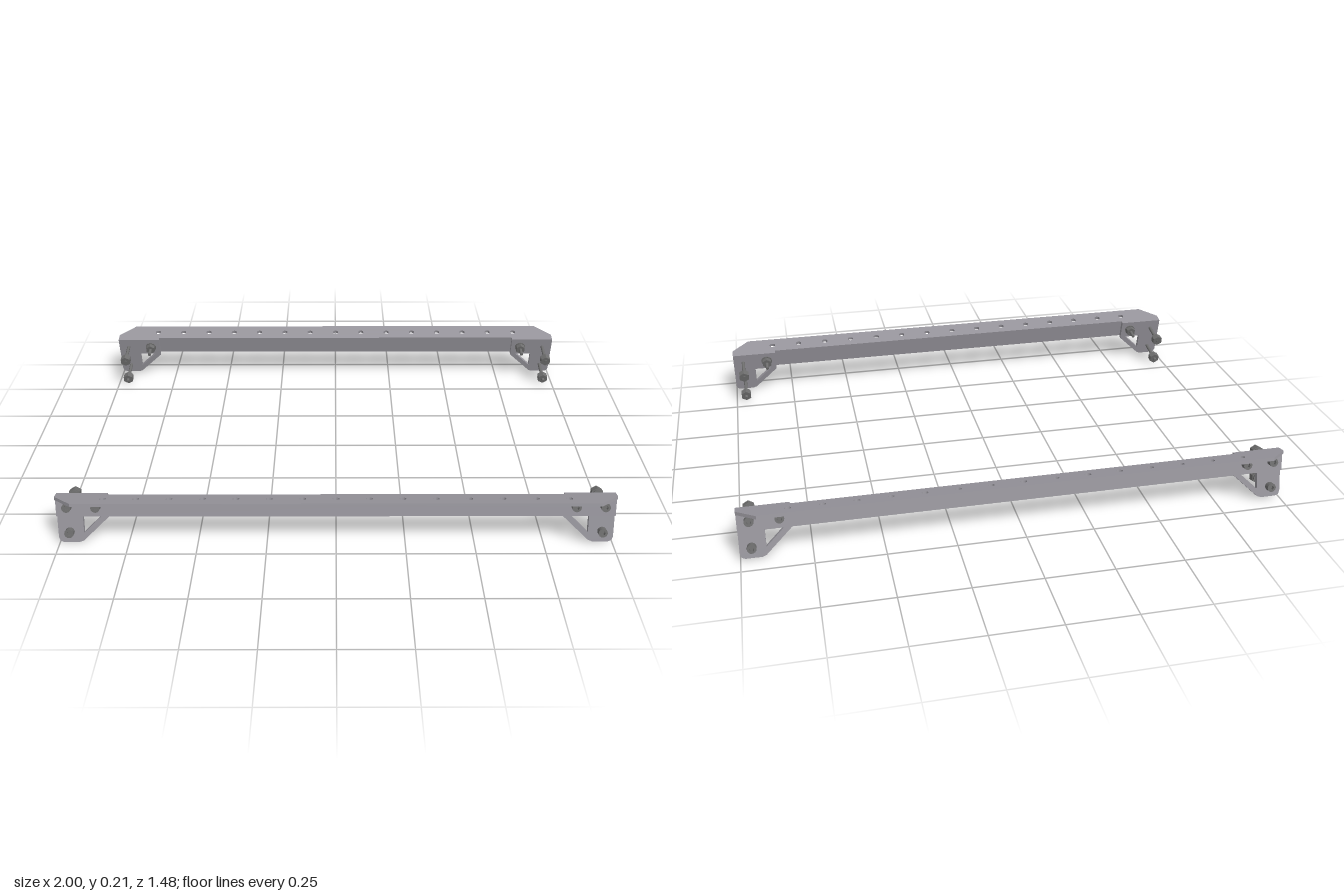
import * as THREE from 'three';

const TILT = THREE.MathUtils.degToRad(12);
const STEEL = 0.012;   // angle-iron thickness
const PLATE = 0.016;   // bracket thickness
const railMat = new THREE.MeshStandardMaterial({ color: 0x97959c });
const boltMat = new THREE.MeshStandardMaterial({ color: 0x6e6e6e });
const nutMat = new THREE.MeshStandardMaterial({ color: 0x6e6e6e, flatShading: true });

function add(parent, name, geometry, material) {
  const mesh = new THREE.Mesh(geometry, material);
  mesh.name = name;
  parent.add(mesh);
  return mesh;
}

const toShape = (pts) => new THREE.Shape(pts.map(([x, y]) => new THREE.Vector2(x, y)));
const extrude = (shape, depth) =>
  new THREE.ExtrudeGeometry(shape, { depth, bevelEnabled: false, curveSegments: 8 });

// Cylinder or prism lying along local z between z0 and z1
function rod(radius, z0, z1, sides) {
  return new THREE.CylinderGeometry(radius, radius, z1 - z0, sides)
    .rotateX(Math.PI / 2).translate(0, 0, (z0 + z1) / 2);
}

// Perforated top flange with chamfered outer corners
function flangeGeometry() {
  const shape = toShape([[-1, 0], [1, 0], [1, 0.022], [0.93, 0.089], [-0.93, 0.089], [-1, 0.022]]);
  for (let i = -7; i <= 7; i++) {
    shape.holes.push(new THREE.Path().absarc(i * 0.1177, 0.043, 0.012, 0, Math.PI * 2, true));
  }
  return extrude(shape, STEEL).rotateX(Math.PI / 2);
}

// Gusset bracket plate with a triangular window; s is the end of the rail
function bracketGeometry(s) {
  const shape = toShape([
    [0.815, 0], [1, 0], [1, -0.166], [0.995, -0.179], [0.983, -0.184],
    [0.925, -0.184], [0.91, -0.178], [0.815, -0.086],
  ].map(([x, y]) => [s * x, y]));
  shape.holes.push(toShape([[0.908, -0.08], [0.838, -0.08], [0.908, -0.148]]
    .map(([x, y]) => [s * x, y])));
  return extrude(shape, PLATE).translate(0, 0, -PLATE);
}

// Round bolt head with a hexagonal socket
function headGeometry() {
  const shape = new THREE.Shape().absarc(0, 0, 0.0165, 0, Math.PI * 2, false);
  const hex = [];
  for (let i = 0; i < 6; i++) {
    hex.push([0.009 * Math.cos(i * Math.PI / 3), 0.009 * Math.sin(i * Math.PI / 3)]);
  }
  shape.holes.push(toShape(hex));
  return extrude(shape, 0.022);
}

// Bolt passing through the plate; seat is the surface its head rests on
function bolt(name, x, y, seat, tip) {
  const g = new THREE.Group();
  g.name = name;
  g.position.set(x, y, 0);
  add(g, 'boltHead', headGeometry(), boltMat).position.z = seat;
  add(g, 'boltShank', rod(0.007, tip, seat + 0.012, 16), boltMat);
  return g;
}

function createRail(name) {
  const side = new THREE.Group();
  side.name = name;
  const rail = new THREE.Group();
  rail.name = 'tiltedRail';
  rail.position.set(0, 0.191, 0.65);
  rail.rotation.x = -TILT;
  side.add(rail);

  // L-section rail
  add(rail, 'topFlange', flangeGeometry(), railMat);
  add(rail, 'web', new THREE.BoxGeometry(2, 0.08 - STEEL, STEEL)
    .translate(0, -(0.08 + STEEL) / 2, STEEL / 2), railMat);

  for (const s of [-1, 1]) {
    add(rail, 'endBracket', bracketGeometry(s), railMat);

    // Long clamping bolts with thick end nuts
    const upper = bolt('upperClampBolt', s * 0.958, -0.04, STEEL, -0.13);
    const lower = bolt('lowerClampBolt', s * 0.958, -0.143, 0, -0.142);
    for (const b of [upper, lower]) {
      add(b, 'clampNut', rod(0.023, -0.127, -0.1, 6), nutMat);
      add(b, 'nutCollar', rod(0.017, -0.1, -0.094, 16), boltMat);
    }

    // Short bolt joining rail and bracket
    const short = bolt('joiningBolt', s * 0.855, -0.04, STEEL, -0.075);
    add(short, 'washer', rod(0.023, -PLATE - 0.004, -PLATE, 20), boltMat);
    add(short, 'nut', rod(0.021, -0.04, -PLATE - 0.004, 6), nutMat);
    rail.add(upper, lower, short);
  }
  return side;
}

export function createModel() {
  const model = new THREE.Group();
  model.name = 'mountingRails';
  const back = createRail('backRail');
  back.rotation.y = Math.PI;
  model.add(createRail('frontRail'), back);
  return model;
}
